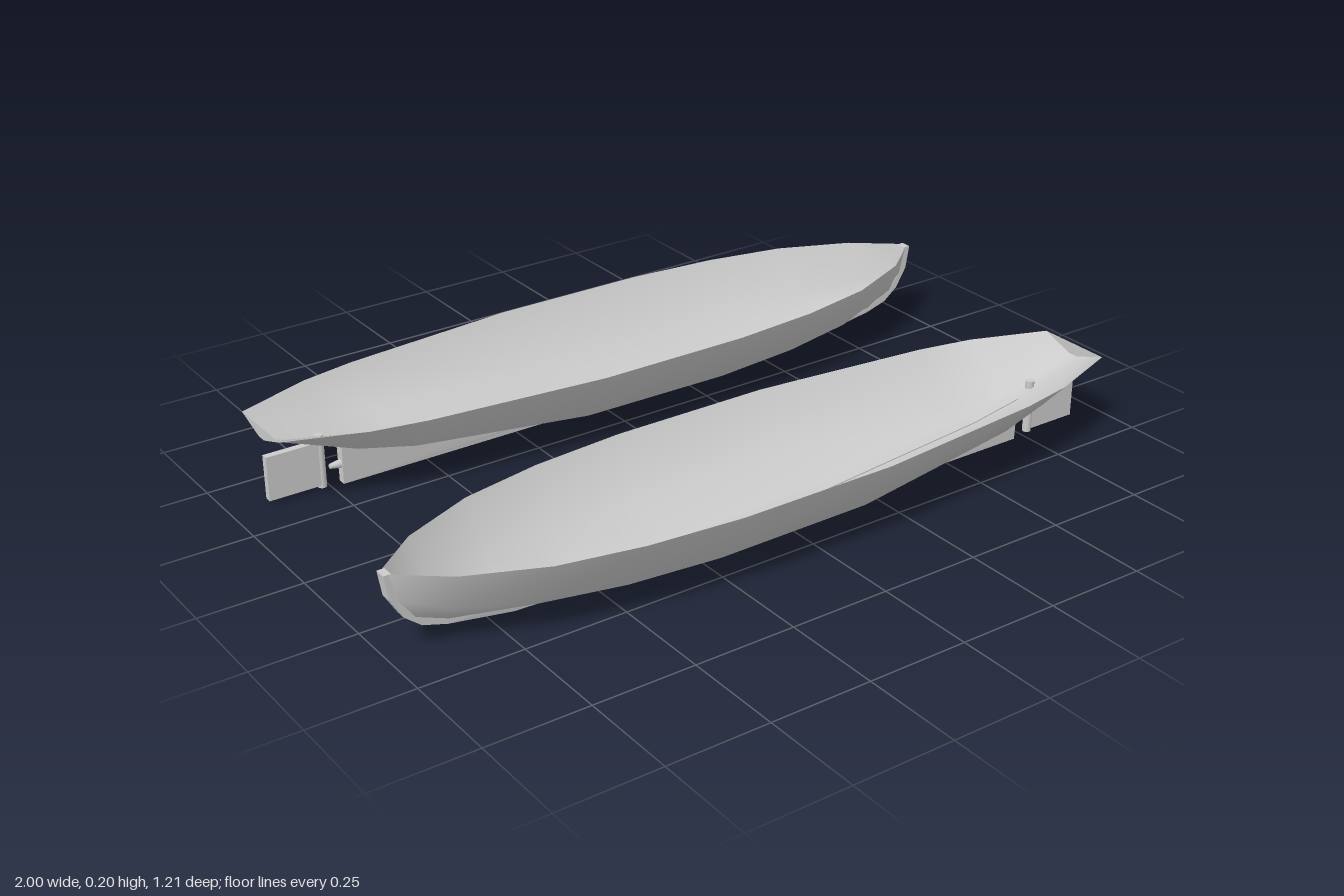
import * as THREE from 'three';

const grey = new THREE.MeshStandardMaterial({ color: 0xcccccc, side: THREE.DoubleSide });

// stations from bow to stern: sheer x, half width | chine x, y, half width | keel x, y
const STATIONS = [
  [-0.99, 0.012, -0.972, 0.13, 0.012, -0.935, 0.082],
  [-0.88, 0.1, -0.86, 0.1, 0.06, -0.86, 0.052],
  [-0.7, 0.177, -0.7, 0.08, 0.11, -0.7, 0.036],
  [-0.5, 0.217, -0.5, 0.07, 0.14, -0.5, 0.031],
  [-0.27, 0.237, -0.27, 0.065, 0.155, -0.27, 0.031],
  [0.13, 0.237, 0.13, 0.068, 0.155, 0.13, 0.042],
  [0.58, 0.192, 0.58, 0.105, 0.12, 0.58, 0.083],
  [0.72, 0.165, 0.72, 0.13, 0.1, 0.72, 0.107],
  [0.91, 0.096, 0.91, 0.182, 0.045, 0.91, 0.171],
];
const SHEER_Y = 0.2;
const KEEL_HALF = 0.013;

function section([sx, sw, cx, cy, cw, kx, ky]) {
  const half = [[sx, SHEER_Y, sw], [cx, cy, cw], [kx, ky, KEEL_HALF]];
  const mirrored = half.map(([x, y, z]) => [x, y, -z]).reverse();
  return [...half, ...mirrored];
}

function surface(points, index) {
  const g = new THREE.BufferGeometry();
  g.setAttribute('position', new THREE.Float32BufferAttribute(points.flat(), 3));
  g.setIndex(index);
  g.computeVertexNormals();
  return g;
}

function add(parent, name, geometry, x = 0, y = 0, z = 0) {
  const mesh = new THREE.Mesh(geometry, grey);
  mesh.name = name;
  mesh.position.set(x, y, z);
  parent.add(mesh);
  return mesh;
}

// flat side profile extruded symmetrically about the centreline
function plate(profile, thickness) {
  const shape = new THREE.Shape(profile.map(([x, y]) => new THREE.Vector2(x, y)));
  const g = new THREE.ExtrudeGeometry(shape, { depth: thickness, bevelEnabled: false });
  return g.translate(0, 0, -thickness / 2);
}

function createBoat() {
  const boat = new THREE.Group();
  const rings = STATIONS.map(section);
  const n = rings[0].length;

  // open hull shell lofted through the stations
  const index = [];
  for (let i = 0; i < rings.length - 1; i++) {
    for (let j = 0; j < n - 1; j++) {
      const a = i * n + j, b = a + 1, c = a + n, d = c + 1;
      index.push(a, b, c, b, d, c);
    }
  }
  add(boat, 'hullShell', surface(rings.flat(), index));

  // flat stern
  const fan = [];
  for (let j = 1; j < n - 1; j++) fan.push(0, j, j + 1);
  add(boat, 'transom', surface(rings[rings.length - 1], fan));

  // stem, keel and skeg in one plate, its inner edge following the hull bottom
  const outer = [[-1, 0.2], [-0.99, 0.14], [-0.96, 0.09], [-0.92, 0.058], [-0.86, 0.04],
    [-0.7, 0.012], [-0.4, 0.003], [0, 0], [0.72, 0]];
  const inner = STATIONS.slice(0, 8).reverse().map((s) => [s[5], s[6] + 0.003]);
  const keel = plate([...outer, ...inner, [-0.965, 0.13], [-0.982, 0.2]], 0.028);
  const pos = keel.attributes.position;
  for (let i = 0; i < pos.count; i++) {
    // narrower along the bottom edge
    if (pos.getY(i) < 0.015) pos.setZ(i, pos.getZ(i) * 0.75);
  }
  keel.computeVertexNormals();
  add(boat, 'keel', keel);

  // rudder blade on a round stock
  add(boat, 'rudderBlade', plate([[0.775, 0.012], [0.908, 0.012], [0.908, 0.124], [0.775, 0.124]], 0.018));
  add(boat, 'rudderStock', new THREE.CylinderGeometry(0.011, 0.011, 0.135, 12), 0.77, 0.0725);

  // propeller shaft stub behind the skeg
  const hub = new THREE.CylinderGeometry(0.006, 0.011, 0.03, 10).rotateZ(-Math.PI / 2);
  add(boat, 'propellerHub', hub, 0.733, 0.05);
  return boat;
}

export function createModel() {
  const model = new THREE.Group();
  // two identical boats lying side by side, pointing opposite ways
  const front = createBoat();
  front.name = 'frontHull';
  front.position.z = 0.367;
  const back = createBoat();
  back.name = 'backHull';
  back.rotation.y = Math.PI;
  back.position.z = -0.367;
  model.add(front, back);
  return model;
}
